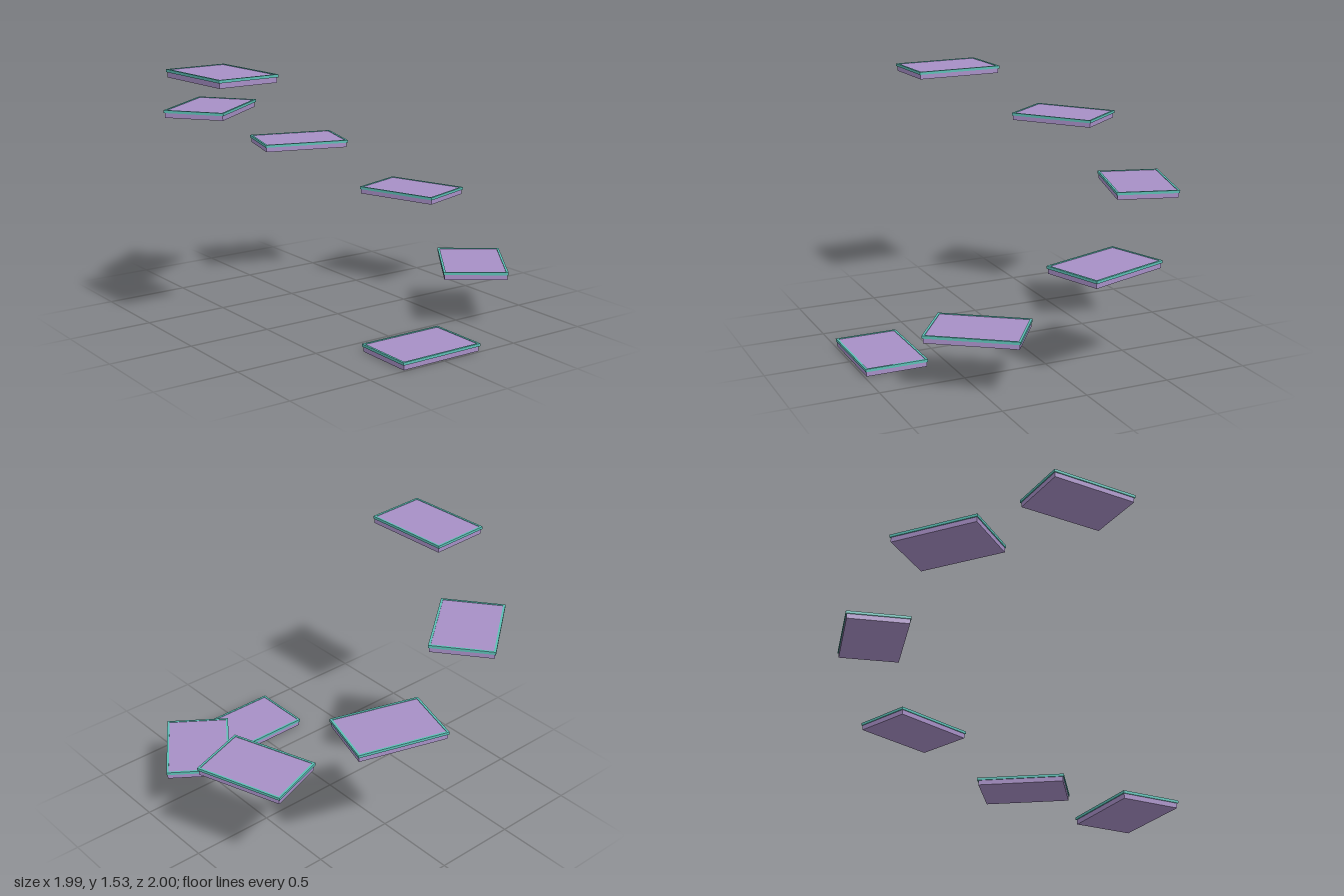
import * as THREE from 'three';

const STEPS = 6, TURN = 0.95, RISE = 0.2965, RADIUS = 0.791;
const WIDTH = 0.372, LENGTH = 0.535, HEIGHT = 0.045;
const LIP = 0.016, RIM = 0.013;

function rectangle(target, w, l) {
  target.moveTo(-w / 2, -l / 2);
  target.lineTo(w / 2, -l / 2);
  target.lineTo(w / 2, l / 2);
  target.lineTo(-w / 2, l / 2);
  target.closePath();
  return target;
}

export function createModel() {
  const purple = new THREE.MeshStandardMaterial({ color: 0xa78fc6 });
  purple.name = 'purple';
  const teal = new THREE.MeshStandardMaterial({ color: 0x5cbfb5 });
  teal.name = 'teal';

  // Tread slab: its top sits just below the rim
  const slabHeight = HEIGHT - 0.003;
  const slabGeometry = new THREE.BoxGeometry(WIDTH - 0.012, slabHeight, LENGTH - 0.012);
  slabGeometry.translate(0, slabHeight / 2, 0);

  // Thin frame around the upper edge
  const frame = rectangle(new THREE.Shape(), WIDTH, LENGTH);
  frame.holes.push(rectangle(new THREE.Path(), WIDTH - 2 * RIM, LENGTH - 2 * RIM));
  const rimGeometry = new THREE.ExtrudeGeometry(frame, { depth: LIP, bevelEnabled: false });
  rimGeometry.rotateX(-Math.PI / 2);
  rimGeometry.translate(0, HEIGHT - LIP, 0);

  // Floating steps climbing in a spiral
  const group = new THREE.Group();
  group.name = 'spiralSteps';
  for (let i = 0; i < STEPS; i++) {
    const angle = i * TURN;
    const step = new THREE.Group();
    step.name = `step${i + 1}`;
    const slab = new THREE.Mesh(slabGeometry, purple);
    slab.name = 'slab';
    const rim = new THREE.Mesh(rimGeometry, teal);
    rim.name = 'rim';
    step.add(slab, rim);
    step.position.set(0.016 + RADIUS * Math.cos(angle), i * RISE, 0.008 - RADIUS * Math.sin(angle));
    step.rotation.y = angle;
    group.add(step);
  }
  return group;
}
